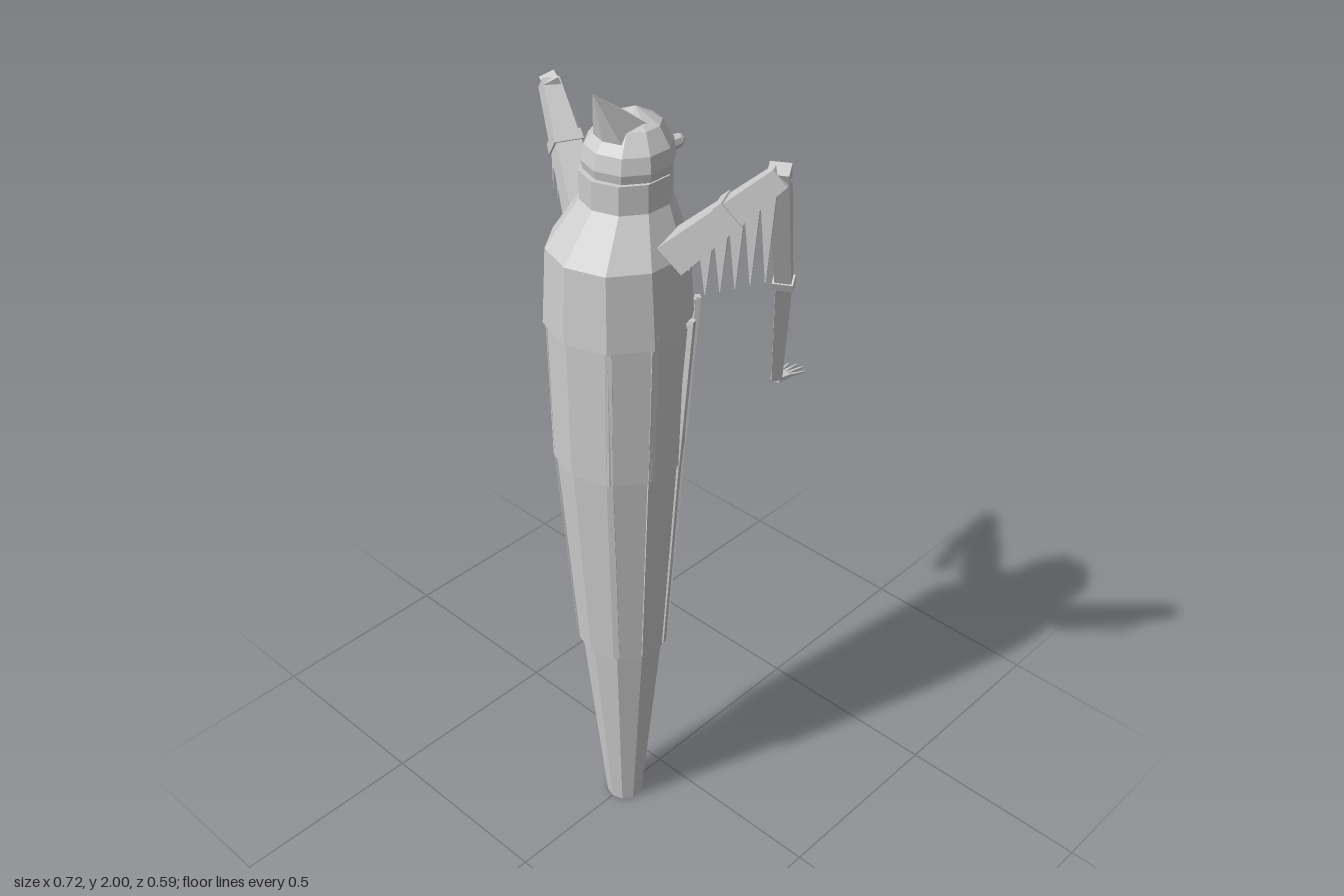
import * as THREE from 'three';
import { ConvexGeometry } from 'three/addons/geometries/ConvexGeometry.js';

const V = (x, y, z) => new THREE.Vector3(x, y, z);
const SIDES = 10;

export function createModel() {
  const model = new THREE.Group();
  const grey = new THREE.MeshStandardMaterial({ color: 0xcccccc });
  grey.flatShading = true;

  function add(name, geometry, parent = model) {
    const mesh = new THREE.Mesh(geometry, grey);
    mesh.name = name;
    parent.add(mesh);
    return mesh;
  }

  // Ten-sided tapered section; each end is [y, radius, centre z]
  function section(name, [y0, r0, z0], [y1, r1, z1], parent) {
    const h = y1 - y0;
    const g = new THREE.CylinderGeometry(r1, r0, h, SIDES);
    const p = g.attributes.position;
    for (let i = 0; i < p.count; i++) {
      const t = p.getY(i) / h + 0.5;
      p.setZ(i, p.getZ(i) + z0 + (z1 - z0) * t);
    }
    g.translate(0, (y0 + y1) / 2, 0);
    return add(name, g, parent);
  }

  // Tapered box from a to b; sizes are [horizontal width, thickness]
  function limb(name, a, b, sa, sb, parent, side) {
    const dir = b.clone().sub(a);
    const len = dir.length();
    dir.normalize();
    const x = side ? side.clone() : V(0, 1, 0).cross(dir);
    x.addScaledVector(dir, -x.dot(dir)).normalize();
    const z = x.clone().cross(dir);
    const g = new THREE.BoxGeometry(1, 1, 1);
    const p = g.attributes.position;
    for (let i = 0; i < p.count; i++) {
      const t = p.getY(i) + 0.5;
      p.setXYZ(i, p.getX(i) * (sa[0] + (sb[0] - sa[0]) * t), t * len,
        p.getZ(i) * (sa[1] + (sb[1] - sa[1]) * t));
    }
    g.applyMatrix4(new THREE.Matrix4().makeBasis(x, dir, z).setPosition(a));
    g.computeVertexNormals();
    return add(name, g, parent);
  }

  // Robe, in overlapping tiers
  section('robeTail', [0, 0.047, 0.135], [0.565, 0.102, 0.131]);
  section('robeLower', [0.56, 0.112, 0.131], [1.12, 0.149, 0.131]);
  section('robeUpper', [1.12, 0.153, 0.132], [1.47, 0.161, 0.126]);
  section('chest', [1.47, 0.167, 0.127], [1.65, 0.155, 0.128]);
  section('shoulders', [1.65, 0.155, 0.128], [1.75, 0.1, 0.1]);
  section('collar', [1.75, 0.1, 0.1], [1.815, 0.1, 0.1]);

  // Head dome
  const head = new THREE.Group();
  head.name = 'head';
  model.add(head);
  const dome = [[1.815, 0.096, 0.092], [1.835, 0.1, 0.092], [1.87, 0.094, 0.09],
    [1.91, 0.065, 0.083], [1.937, 0.003, 0.07]];
  for (let i = 0; i < dome.length - 1; i++) section('headTier', dome[i], dome[i + 1], head);

  // Pointed crest rising from the back of the hood
  add('crest', new ConvexGeometry([
    V(0, 2, 0.19), V(-0.047, 1.915, 0.08), V(0.047, 1.915, 0.08), V(0, 1.93, 0.09),
    V(-0.043, 1.885, 0.15), V(0.043, 1.885, 0.15), V(0, 1.89, 0.165),
  ]), head);

  // Eyes on the face side
  for (const s of [-1, 1]) {
    const eye = new THREE.SphereGeometry(0.015, 8, 6);
    eye.translate(s * 0.03, 1.84, -0.026);
    add('eye', eye, head);
    const socket = new THREE.CylinderGeometry(0.016, 0.016, 0.03, 8);
    socket.rotateX(Math.PI / 2);
    socket.translate(s * 0.03, 1.84, -0.008);
    add('eyeSocket', socket, head);
  }

  // Thin ribs down the robe's edges, with studs on the chest behind them
  const ribs = new THREE.Group();
  ribs.name = 'robeRibs';
  model.add(ribs);
  for (let i = 1; i < SIDES; i++) {
    const a = (i / SIDES) * Math.PI * 2;
    const at = (r, y, cz) => V(Math.sin(a) * r, y, cz + Math.cos(a) * r);
    const tangent = V(Math.cos(a), 0, -Math.sin(a));
    const back = Math.cos(a) < 0;
    limb('rib', at(0.108, 0.565, 0.13), at(0.146, 1.12, 0.13), [0.015, 0.012], [0.015, 0.012], ribs, tangent);
    limb('rib', at(0.147, 1.12, 0.13), at(back ? 0.172 : 0.158, 1.5, 0.123),
      [0.015, 0.012], [0.015, 0.012], ribs, tangent);
    if (back) {
      for (const [y, r] of [[1.49, 0.164], [1.63, 0.156]]) {
        limb('stud', at(r - 0.01, y, 0.127), at(r + 0.014, y, 0.127),
          [0.012, 0.012], [0.012, 0.012], ribs, tangent);
      }
    }
  }

  // Arms, mirrored
  for (const s of [-1, 1]) {
    const arm = new THREE.Group();
    arm.name = s > 0 ? 'leftArm' : 'rightArm';
    model.add(arm);
    const P = (x, y, z) => V(s * x, y, z);
    const shoulder = P(0.135, 1.66, 0.095), elbow = P(0.335, 1.872, 0.0);
    const mid = P(0.265, 1.56, -0.108), wrist = P(0.178, 1.23, -0.208);
    limb('upperArm', shoulder, elbow, [0.076, 0.075], [0.04, 0.045], arm);
    limb('upperForearm', P(0.33, 1.885, 0.005), mid, [0.045, 0.036], [0.036, 0.026], arm);
    limb('lowerForearm', mid, wrist, [0.036, 0.026], [0.024, 0.016], arm);

    // Cuffs round the upper arm and the forearm joint
    const lerp = (t) => shoulder.clone().lerp(elbow, t);
    limb('armCuff', lerp(0.5), lerp(0.58), [0.066, 0.068], [0.064, 0.066], arm);
    limb('forearmCuff', P(0.267, 1.57, -0.104), P(0.263, 1.55, -0.111), [0.046, 0.032], [0.046, 0.032], arm);

    // Ragged fringe hanging below the upper arm
    for (let i = 0; i < 5; i++) {
      const top = lerp(0.3 + i * 0.145);
      top.y -= 0.015;
      const tip = top.clone().add(P(0.005, -0.13 - 0.018 * i, 0.005));
      limb('fringe', top, tip, [0.034, 0.008], [0.002, 0.002], arm, P(0.9, 0, -0.42));
    }

    // Flat hand with splayed fingers
    const across = V(1, 0, 0);
    limb('palm', P(0.177, 1.23, -0.203), P(0.172, 1.226, -0.243), [0.024, 0.012], [0.036, 0.009], arm, across);
    const fingers = [
      [0.185, -0.238, 0.199, -0.287], [0.177, -0.24, 0.183, -0.3],
      [0.169, -0.24, 0.165, -0.297], [0.161, -0.238, 0.148, -0.287], [0.168, -0.212, 0.147, -0.238],
    ];
    for (const [x0, z0, x1, z1] of fingers) {
      limb('finger', P(x0, 1.227, z0), P(x1, 1.222, z1), [0.009, 0.008], [0.003, 0.003], arm, across);
    }
  }
  return model;
}
